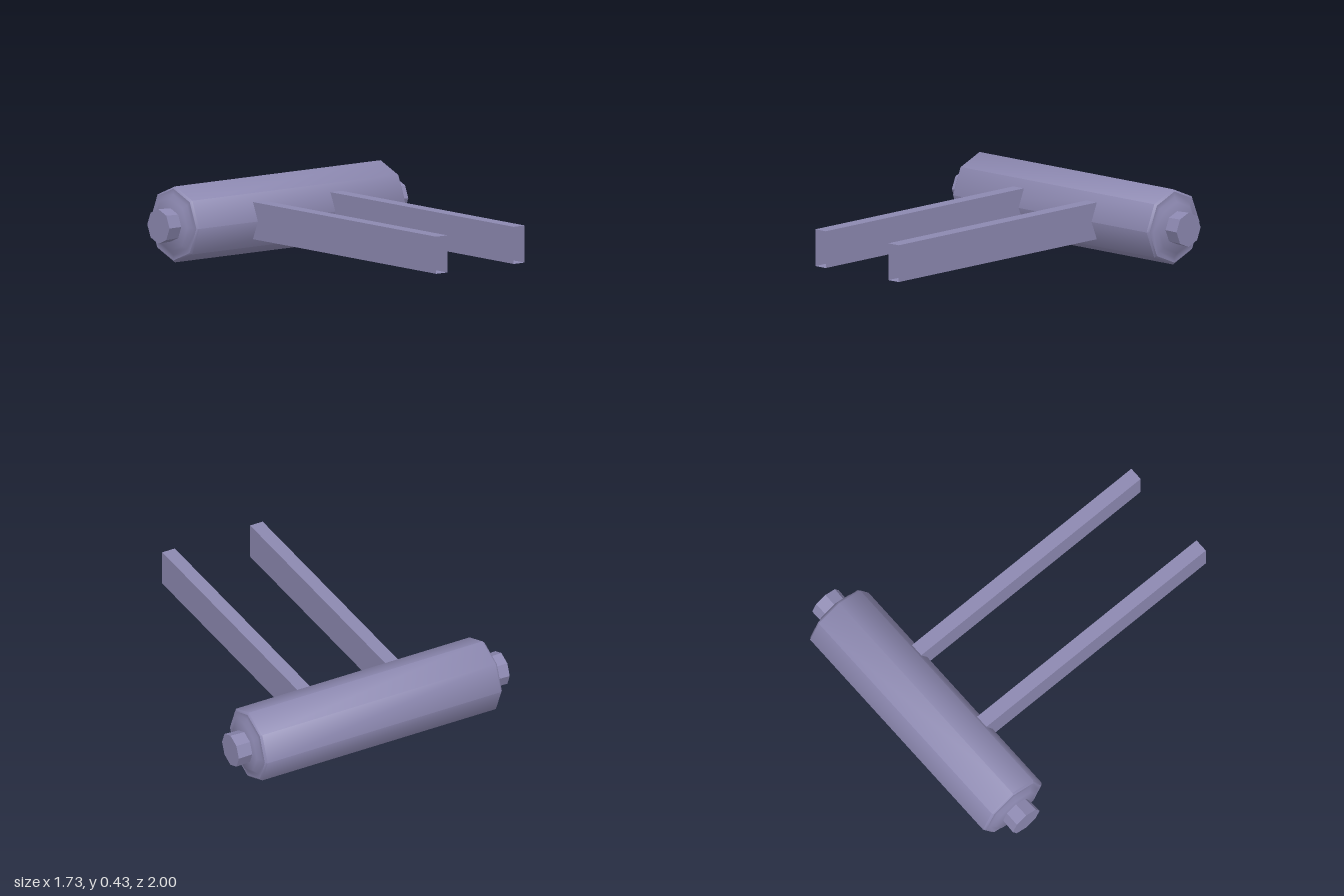
import * as THREE from 'three';
import { toCreasedNormals } from 'three/addons/utils/BufferGeometryUtils.js';

const COLOR = 0x8c88b0;
const AXIS_Y = 0.218, AXIS_Z = -0.785;

export function createModel() {
  const group = new THREE.Group();
  const smooth = new THREE.MeshStandardMaterial({ color: COLOR });
  const faceted = new THREE.MeshStandardMaterial({ color: COLOR, flatShading: true });
  const thin = new THREE.MeshStandardMaterial({ color: COLOR, flatShading: true, side: THREE.DoubleSide });

  // Eight-sided solid turned around the x axis; the profile is [radius, x]
  function turned(name, profile, material) {
    const points = profile.map(([r, x]) => new THREE.Vector2(r, x));
    const geometry = toCreasedNormals(new THREE.LatheGeometry(points, 8), 0.8);
    geometry.rotateZ(-Math.PI / 2);
    geometry.translate(0, AXIS_Y, AXIS_Z);
    const mesh = new THREE.Mesh(geometry, material);
    mesh.name = name;
    group.add(mesh);
  }

  // Mirror a half profile so both ends match
  const mirrored = (half) => [...half.map(([r, x]) => [r, -x]), ...half.slice().reverse()];

  // Roller with rounded rims and stepped end collars
  turned('roller', mirrored([
    [0, 0.775], [0.147, 0.775], [0.172, 0.755], [0.203, 0.755], [0.215, 0.743],
  ]), smooth);

  // Axle, flaring slightly towards its ends
  turned('axle', mirrored([[0, 0.863], [0.098, 0.863], [0.094, 0.77]]), faceted);

  // Two arms: thin rectangular tubes, open at the front
  const width = 0.08, height = 0.21, back = -0.64, front = 1;
  for (const side of [-1, 1]) {
    const tube = new THREE.CylinderGeometry(Math.SQRT1_2, Math.SQRT1_2, 1, 4, 1, true);
    tube.rotateY(Math.PI / 4);
    tube.rotateX(Math.PI / 2);
    tube.scale(width, height, front - back);
    const arm = new THREE.Mesh(tube, thin);
    arm.name = side > 0 ? 'leftArm' : 'rightArm';
    arm.position.set(side * 0.28, AXIS_Y, (front + back) / 2);
    group.add(arm);
  }

  return group;
}
